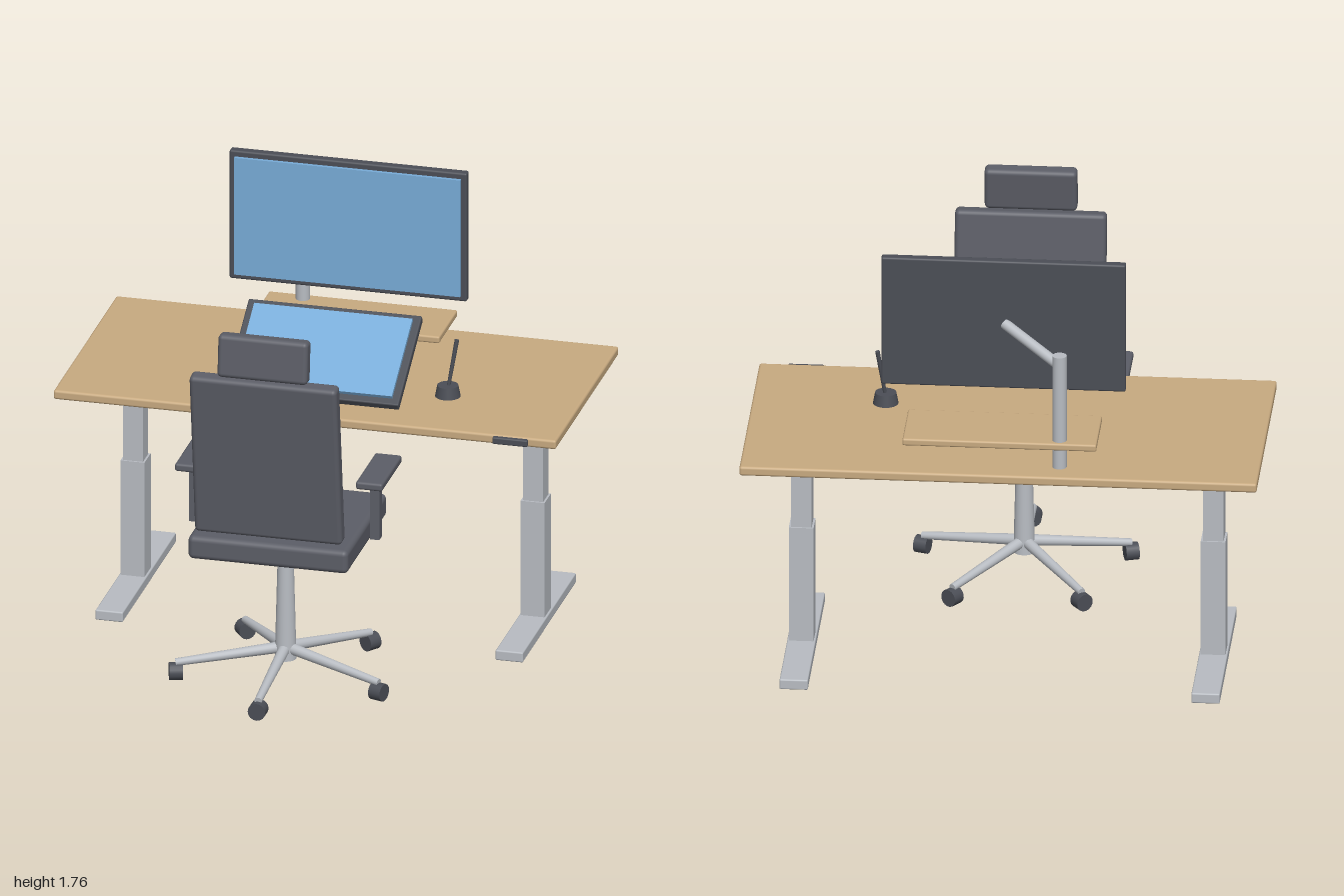
import * as THREE from 'three';
import { RoundedBoxGeometry } from 'three/addons/geometries/RoundedBoxGeometry.js';

const material = (name, color) => {
  const m = new THREE.MeshStandardMaterial({ color });
  m.name = name;
  return m;
};

export function createModel() {
  const wood = material('wood', 0xc8aa80);
  const metal = material('silver metal', 0xb8bcc2);
  const fabric = material('chair fabric', 0x5c5e67);
  const casing = material('dark casing', 0x4b4e56);
  const glass = material('screen blue', 0x78acd8);

  const model = new THREE.Group();
  model.name = 'deskWorkstation';

  const group = (name) => {
    const g = new THREE.Group();
    g.name = name;
    model.add(g);
    return g;
  };
  const add = (parent, name, geometry, mat, [x, y, z] = [0, 0, 0]) => {
    const mesh = new THREE.Mesh(geometry, mat);
    mesh.name = name;
    mesh.position.set(x, y, z);
    parent.add(mesh);
    return mesh;
  };
  // Box with edges rounded by r (sharp when r is 0)
  const box = (parent, name, [w, h, d], mat, at, r = 0) =>
    add(parent, name, r ? new RoundedBoxGeometry(w, h, d, 3, r) : new THREE.BoxGeometry(w, h, d), mat, at);
  // Tapered rod from a (radius ra) to b (radius rb)
  const rod = (parent, name, a, b, ra, rb, mat, sides = 20) => {
    const from = new THREE.Vector3(...a), to = new THREE.Vector3(...b);
    const dir = to.clone().sub(from);
    const mid = from.add(to).multiplyScalar(0.5);
    const mesh = add(parent, name, new THREE.CylinderGeometry(rb, ra, dir.length(), sides), mat, mid.toArray());
    mesh.quaternion.setFromUnitVectors(new THREE.Vector3(0, 1, 0), dir.normalize());
    return mesh;
  };

  // Desk: top, cross beam, two telescopic legs and a height control
  const desk = group('desk');
  box(desk, 'deskTop', [2, 0.038, 0.97], wood, [0, 0.954, -0.37], 0.01);
  box(desk, 'crossBeam', [1.67, 0.055, 0.15], metal, [0, 0.907, -0.39]);
  box(desk, 'heightControl', [0.14, 0.028, 0.03], casing, [0.82, 0.954, 0.116], 0.006);
  for (const side of [-1, 1]) {
    const x = side * 0.796;
    box(desk, 'upperLeg', [0.08, 0.42, 0.08], metal, [x, 0.69, -0.364]);
    box(desk, 'lowerLeg', [0.096, 0.48, 0.096], metal, [x, 0.28, -0.364]);
    box(desk, 'foot', [0.11, 0.042, 0.82], metal, [x, 0.021, -0.365], 0.006);
  }

  // Raised shelf
  box(model, 'monitorShelf', [0.75, 0.029, 0.28], wood, [0, 1.071, -0.65], 0.008);

  // Monitor on its pole and arm
  const monitor = group('monitor');
  box(monitor, 'monitorCase', [0.945, 0.536, 0.038], casing, [0, 1.492, -0.573], 0.008);
  box(monitor, 'monitorScreen', [0.9, 0.488, 0.016], glass, [0, 1.492, -0.547]);
  rod(monitor, 'monitorPole', [-0.23, 0.972, -0.75], [-0.23, 1.443, -0.75], 0.028, 0.028, metal);
  rod(monitor, 'monitorArm', [-0.23, 1.4, -0.75], [-0.005, 1.497, -0.59], 0.021, 0.021, metal);

  // Tilted drawing tablet
  const tablet = group('drawingTablet');
  tablet.position.set(0, 1.107, -0.185);
  tablet.rotation.x = 0.546;
  box(tablet, 'tabletCase', [0.69, 0.032, 0.432], casing, [0, 0, 0], 0.006);
  box(tablet, 'tabletScreen', [0.63, 0.015, 0.374], glass, [0, 0.0235, 0]);

  // Pen in its stand
  const pen = group('penStand');
  rod(pen, 'penBase', [0.485, 0.97, -0.215], [0.485, 1.018, -0.215], 0.05, 0.041, casing, 24);
  rod(pen, 'pen', [0.487, 1.01, -0.216], [0.515, 1.2, -0.239], 0.007, 0.009, casing, 12);

  // Chair: cushions
  const chair = group('chair');
  const cz = 0.405;
  box(chair, 'seat', [0.637, 0.096, 0.615], fabric, [0, 0.621, 0.38], 0.022);
  box(chair, 'backrest', [0.586, 0.687, 0.066], fabric, [0, 1.032, 0.69], 0.018).rotation.x = 0.13;
  box(chair, 'headrest', [0.358, 0.172, 0.064], fabric, [0, 1.468, 0.738], 0.018).rotation.x = -0.1;

  // Chair: armrests
  for (const side of [-1, 1]) {
    box(chair, 'armPad', [0.107, 0.032, 0.305], fabric, [side * 0.36, 0.877, 0.365], 0.01);
    box(chair, 'armPost', [0.037, 0.245, 0.037], fabric, [side * 0.36, 0.742, 0.407]);
  }

  // Chair: column and five-spoke base on wheels
  rod(chair, 'column', [0, 0.08, cz], [0, 0.58, cz], 0.042, 0.029, metal, 24);
  for (let i = 0; i < 5; i++) {
    const a = (i * 2 * Math.PI) / 5;
    const out = (r, y) => [Math.sin(a) * r, y, cz + Math.cos(a) * r];
    rod(chair, 'spoke', out(0, 0.128), out(0.425, 0.072), 0.023, 0.015, metal, 16);
    rod(chair, 'wheel', out(0.398, 0.035), out(0.45, 0.035), 0.035, 0.035, casing, 16);
  }

  return model;
}
